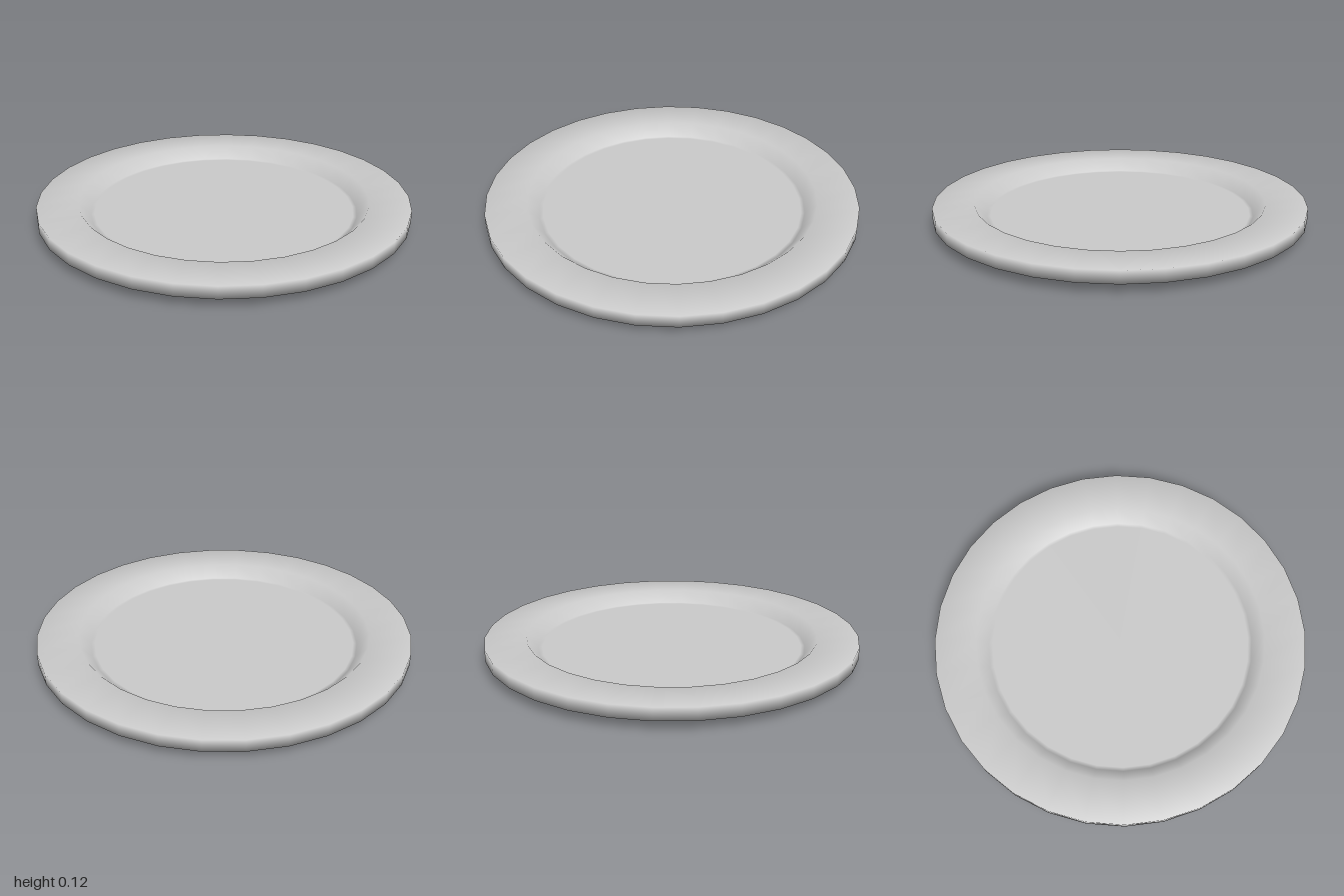
import * as THREE from 'three';

export function createModel() {
  const group = new THREE.Group();
  group.name = 'plate';

  // Half section, from the centre of the underside, round the rim, to the centre of the floor
  const profile = [
    [0, 0], [0.84, 0], [0.88, 0],       // flat underside
    [1, 0.05], [1, 0.115],              // sloped foot and upright edge
    [0.78, 0.115],                      // flat rim
    [0.72, 0.05], [0.7, 0.05], [0, 0.05], // inner slope and floor
  ].map(([r, y]) => new THREE.Vector2(r, y));

  const dish = new THREE.Mesh(
    new THREE.LatheGeometry(profile, 32),
    new THREE.MeshStandardMaterial({ color: 0xcccccc })
  );
  dish.name = 'dish';
  group.add(dish);
  return group;
}
